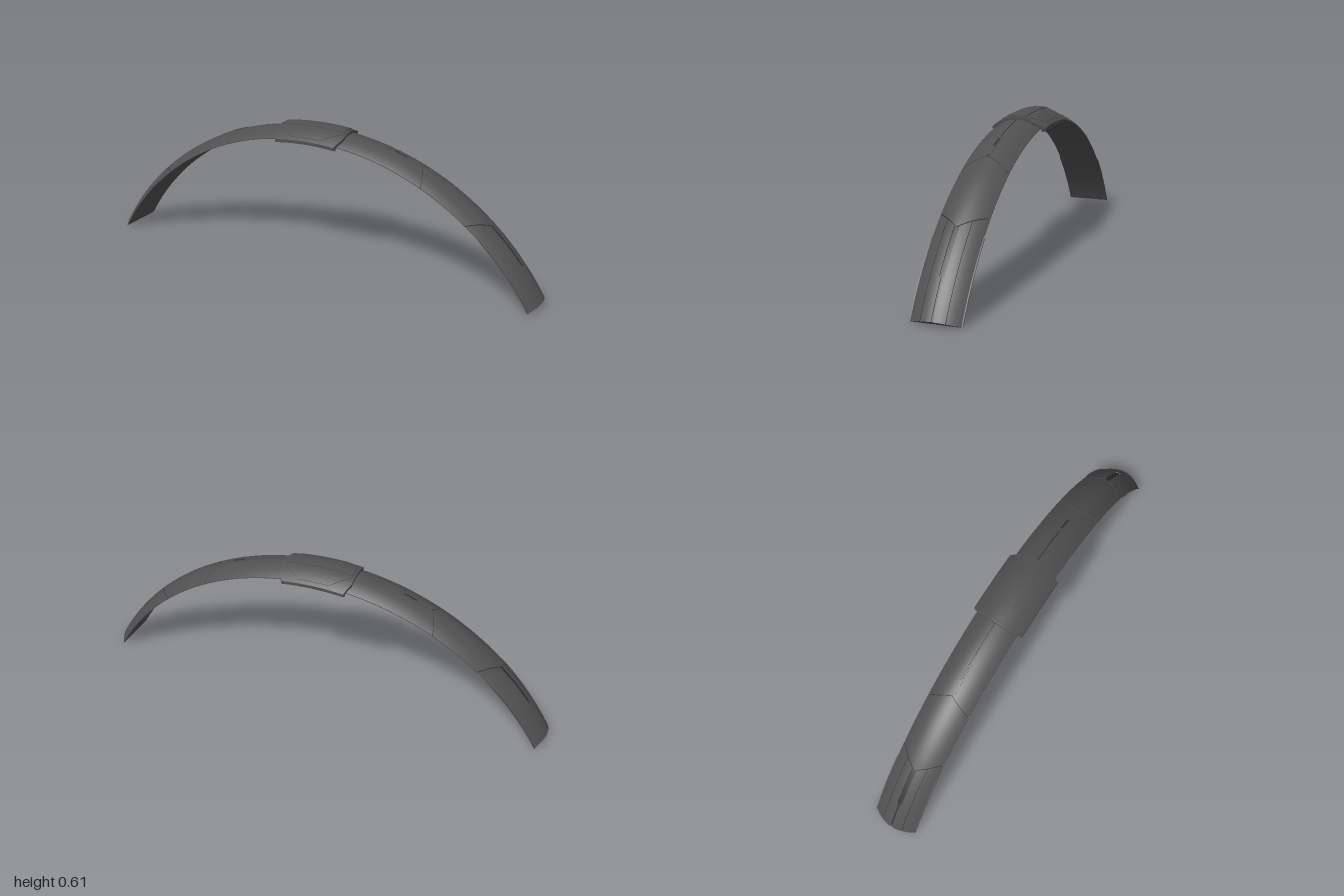
import * as THREE from 'three';

const CY = -0.5675;      // centre height of the arch circle
const INNER = 1.119;     // underside radius
const END = 1.039;       // half angle of the arch
const shell = new THREE.MeshStandardMaterial({ color: 0x505050 });
shell.name = 'charcoal shell';
const trim = new THREE.MeshStandardMaterial({ color: 0x333333 });
trim.name = 'dark seam';

const lerp = THREE.MathUtils.lerp;
const fn = (f) => (typeof f === 'function' ? f : () => f);

// Crowned outer surface of the band
const crown = (z) => Math.max(1.159 - 0.037 * (z / 0.095) ** 2, INNER + 0.003);
// Chevron seams, as angle from the top of the arch
const upperSeam = (z) => 0.42 + 0.5 * Math.abs(z);
const capSeam = (z) => 0.735 - 0.66 * Math.abs(z);

// Solid curved block: z range, angle range and radius range may vary across z
function slab(name, material, z0, z1, a0, a1, low, high, na = 24, nz = 16) {
  const [A0, A1, L, H] = [a0, a1, low, high].map(fn);
  const point = (u, v, w) => {
    const z = lerp(z0, z1, u);
    const a = lerp(A0(z), A1(z), v);
    const r = lerp(L(z), H(z), w);
    return [r * Math.sin(a), r * Math.cos(a) + CY, z];
  };
  const pos = [];
  const index = [];
  const sheet = (f, ns, nt) => {
    const base = pos.length / 3;
    for (let i = 0; i <= ns; i++) {
      for (let j = 0; j <= nt; j++) pos.push(...f(i / ns, j / nt));
    }
    for (let i = 0; i < ns; i++) {
      for (let j = 0; j < nt; j++) {
        const a = base + i * (nt + 1) + j;
        const b = a + nt + 1;
        index.push(a, b, b + 1, a, b + 1, a + 1);
      }
    }
  };
  sheet((s, t) => point(s, t, 1), nz, na);
  sheet((s, t) => point(t, s, 0), na, nz);
  sheet((s, t) => point(1, s, t), na, 1);
  sheet((s, t) => point(0, t, s), 1, na);
  sheet((s, t) => point(t, 1, s), 1, nz);
  sheet((s, t) => point(s, 0, t), nz, 1);
  const geometry = new THREE.BufferGeometry();
  geometry.setAttribute('position', new THREE.Float32BufferAttribute(pos, 3));
  geometry.setIndex(index);
  geometry.computeVertexNormals();
  const mesh = new THREE.Mesh(geometry, material);
  mesh.name = name;
  return mesh;
}

export function createModel() {
  const model = new THREE.Group();
  model.name = 'headband';
  const add = (...args) => model.add(slab(...args));

  // Inner lining and the dark core seen through the seams
  add('innerLining', shell, -0.095, 0.095, -END, END, INNER, INNER + 0.003, 80);
  add('seamCore', trim, -0.0935, 0.0935, -END + 0.001, END - 0.001, INNER + 0.001,
    (z) => Math.max(crown(z) - 0.004, INNER + 0.002), 80);

  for (const s of [-1, 1]) {
    const side = s > 0 ? 'left' : 'right';
    // Panel on one arm, flipped to the other by swapping the angles
    const arm = (name, mat, z0, z1, a0, a1, low, high, na) => {
      const [p, q] = [fn(a0), fn(a1)];
      const from = s > 0 ? p : (z) => -q(z);
      const to = s > 0 ? q : (z) => -p(z);
      add(side + name, mat, z0, z1, from, to, low, high, na);
    };
    const base = INNER + 0.002;

    // Middle panel between the two chevron seams
    arm('MiddlePanel', shell, -0.095, 0.095, (z) => upperSeam(z) + 0.002,
      (z) => capSeam(z) - 0.002, base, crown);

    // Small raised clip at the end of the centre groove
    arm('Clip', shell, -0.009, 0.009, 0.3, 0.415, 1.15, (z) => crown(z) + 0.002, 8);
    arm('ClipSlot', trim, -0.004, 0.004, 0.31, 0.36, 1.15, (z) => crown(z) + 0.003, 8);

    for (const m of [-1, 1]) {
      const half = (name, zIn, zOut, a0, a1, low, high) =>
        arm(name, shell, Math.min(m * zIn, m * zOut), Math.max(m * zIn, m * zOut),
          a0, a1, low, high);
      // Upper panel halves with a groove between them
      half('UpperPanel', 0.002, 0.095, 0, (z) => upperSeam(z) - 0.001, base, crown);
      // End cap strips, leaving a slot down the middle
      const start = (z) => capSeam(z) + 0.002;
      half('CapOuterStrip', 0.0485, 0.095, start, END, base, crown);
      half('CapInnerStrip', 0.0105, 0.0465, start, END, base, crown);
      half('CapSlotFiller', 0.0035, 0.0105, 0.902, END, base, crown);
      // Rail that widens the lower end
      half('CapSideRail', 0.0945, 0.099, (z) => 0.735 + (Math.abs(z) - 0.0945) * 4, END,
        INNER, INNER + 0.004);
    }
  }

  // Saddle clamped over the top of the arch
  const dome = (z) => 1.17 - 0.047 * (z / 0.113) ** 2;
  const reach = (z) => 0.135 - Math.max(0, Math.abs(z) - 0.07) * 0.35;
  add('saddle', shell, -0.113, 0.113, (z) => -reach(z), reach,
    (z) => dome(z) - 0.013, dome, 20, 32);

  // Cut-corner cover plate with a raised middle
  const cover = (z) => 0.126 - Math.max(0, Math.abs(z) - 0.045) * 1.2;
  add('saddleCover', shell, -0.1, 0.1, (z) => -cover(z), cover,
    (z) => dome(z) - 0.004, (z) => dome(z) + 0.002, 20, 40);
  add('saddleRidge', shell, -0.035, 0.035, -0.122, 0.122,
    (z) => dome(z) - 0.004, (z) => dome(z) + 0.005, 20, 12);

  // Lips hooking down past both edges of the band
  for (const m of [-1, 1]) {
    add(m > 0 ? 'frontLip' : 'backLip', shell, m * 0.104 - 0.005, m * 0.104 + 0.005,
      -0.124, 0.124, 1.109, 1.126, 20, 2);
  }
  return model;
}
